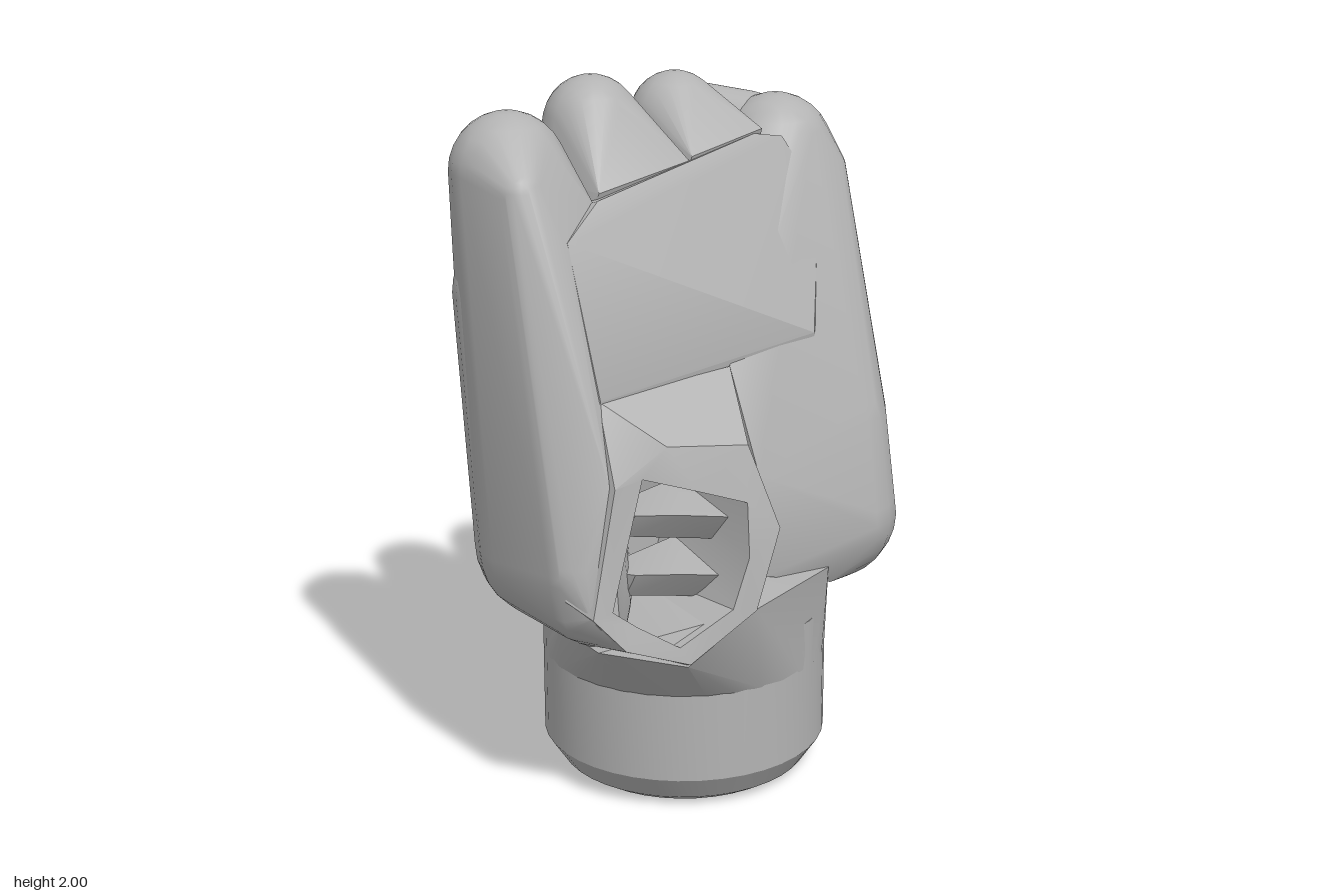
import * as THREE from 'three';
import { toCreasedNormals } from 'three/addons/utils/BufferGeometryUtils.js';
import { ConvexGeometry } from 'three/addons/geometries/ConvexGeometry.js';

const grey = new THREE.MeshStandardMaterial({ color: 0xb3b3b3 });
grey.name = 'plain grey';

// Skin stretched over balls [x, y, z, r] and single points [x, y, z]
function hull(name, items) {
  const points = [];
  for (const [x, y, z, r] of items) {
    if (!r) { points.push(new THREE.Vector3(x, y, z)); continue; }
    const p = new THREE.SphereGeometry(r, 20, 14).attributes.position;
    for (let i = 0; i < p.count; i++) {
      points.push(new THREE.Vector3(p.getX(i) + x, p.getY(i) + y, p.getZ(i) + z));
    }
  }
  return part(name, new ConvexGeometry(points));
}

function part(name, geometry, crease = 0.6) {
  const mesh = new THREE.Mesh(toCreasedNormals(geometry, crease), grey);
  mesh.name = name;
  return mesh;
}

// Quads between successive loops of equal length
function loft(name, loops) {
  const pos = [];
  for (let k = 0; k < loops.length - 1; k++) {
    const n = loops[k].length;
    for (let i = 0; i < n; i++) {
      const j = (i + 1) % n;
      const a = loops[k][i], b = loops[k][j], c = loops[k + 1][j], d = loops[k + 1][i];
      pos.push(...a, ...b, ...c, ...a, ...c, ...d);
    }
  }
  const g = new THREE.BufferGeometry();
  g.setAttribute('position', new THREE.Float32BufferAttribute(pos, 3));
  return part(name, g, 0.5);
}

export function createModel() {
  const hand = new THREE.Group();
  hand.name = 'closedHand';

  // Wrist with bevelled foot
  const profile = [[0, 0], [0.32, 0], [0.36, 0.025], [0.41, 0.1], [0.41, 0.5], [0, 0.5]];
  const wrist = part('wrist', new THREE.LatheGeometry(
    profile.map(([r, y]) => new THREE.Vector2(r, y)), 40), 0.4);
  wrist.position.set(-0.02, 0, -0.02);
  hand.add(wrist);

  // Flare from wrist to hand
  const ring = [];
  for (let i = 0; i < 32; i++) {
    const t = i / 32 * Math.PI * 2;
    ring.push([-0.02 + 0.41 * Math.cos(t), 0.36, -0.02 + 0.41 * Math.sin(t)]);
  }
  hand.add(hull('wristFlare', [...ring,
    [-0.2, 0.65, 0.465], [-0.38, 0.51, 0.39], [-0.57, 0.56, 0.24], [-0.5, 0.54, 0],
    [0.22, 0.62, 0.33], [0.5, 0.57, 0], [0.48, 0.57, -0.2],
    [-0.1, 0.72, -0.43], [0.22, 0.72, -0.42]]));

  // Domed back of the hand and folded finger face
  hand.add(hull('palm', [
    [-0.44, 1.45, -0.24, 0.175], [-0.15, 1.4, -0.2, 0.265],
    [0.18, 1.4, -0.205, 0.27], [0.47, 1.45, -0.18, 0.185],
    [-0.3, 1.3, -0.17, 0.28], [0.3, 1.3, -0.18, 0.28],
    [-0.05, 0.76, -0.21, 0.23], [-0.4, 0.73, -0.15, 0.22], [0.36, 0.75, -0.18, 0.23],
    [-0.48, 1.64, 0.03], [-0.33, 1.72, -0.02], [0.28, 1.81, -0.05],
    [0.38, 1.79, -0.04], [0.46, 1.62, 0.03], [-0.5, 1.24, 0.18], [0.3, 1.27, 0.18]]));

  // Little finger side and heel
  hand.add(hull('littleFingerSide', [
    [0.49, 1.71, -0.18, 0.17], [0.57, 1.66, -0.07, 0.075],
    [0.47, 1.4, -0.14, 0.185], [0.43, 0.95, 0.08, 0.2],
    [0.4, 0.7, 0.145, 0.205], [0.37, 0.7, 0, 0.205], [0.36, 0.74, -0.16, 0.22],
    [-0.03, 1.24, 0.18], [0.25, 1.25, 0.18], [-0.03, 0.95, 0.3],
    [-0.03, 0.66, 0.33], [0.25, 0.56, 0.31]]));

  // Index finger side, reaching down to the thumb rim
  hand.add(hull('indexFingerSide', [
    [-0.46, 1.79, -0.24, 0.16], [-0.54, 1.76, -0.09, 0.07], [-0.44, 1.45, -0.235, 0.17],
    [-0.545, 0.78, 0.15, 0.12], [-0.53, 0.68, 0.15, 0.12], [-0.41, 0.73, -0.14, 0.215],
    [-0.33, 1.7, -0.03], [-0.49, 1.62, 0.04],
    [-0.54, 1.03, 0.26], [-0.62, 0.68, 0.27], [-0.54, 0.58, 0.3]]));

  // Middle two knuckles: ball tip, broad root, and width of the front foot
  const knuckles = [
    ['middleKnuckle', -0.13, 1.865, 0.135, -0.3, 0.03, 1.73],
    ['ringKnuckle', 0.185, 1.84, 0.13, 0.04, 0.31, 1.78]];
  for (const [name, x, y, r, x0, x1, foot] of knuckles) {
    hand.add(hull(name, [[x, y, -0.28, r],
      [x - 0.05, 1.42, -0.3, 0.155], [x + 0.05, 1.42, -0.3, 0.155],
      [x0, foot, -0.05], [x1, foot + 0.04, -0.05],
      [x0, foot, -0.25], [x1, foot + 0.02, -0.25]]));
  }

  // Web joining the outer two knuckles at the back
  hand.add(hull('knuckleWeb', [
    [0.19, 1.86, -0.335, 0.085], [0.48, 1.78, -0.28, 0.09],
    [0.19, 1.42, -0.305, 0.155], [0.46, 1.42, -0.2, 0.17]]));

  // Curled thumb: raised rim around a hollow
  const base = [[-0.03, 1.24, 0.18], [-0.5, 1.24, 0.17], [-0.55, 1, 0.19], [-0.65, 0.72, 0.2],
    [-0.58, 0.57, 0.17], [-0.4, 0.48, 0.25], [-0.2, 0.55, 0.35], [-0.03, 0.66, 0.31]];
  const rim = [[-0.17, 1.1, 0.4], [-0.4, 1.13, 0.33], [-0.54, 1.03, 0.28], [-0.62, 0.68, 0.28],
    [-0.54, 0.58, 0.32], [-0.38, 0.52, 0.4], [-0.2, 0.65, 0.47], [-0.12, 0.87, 0.475]];
  const lip = [[-0.2, 0.95, 0.43], [-0.33, 1, 0.38], [-0.47, 1.05, 0.31], [-0.56, 0.69, 0.29],
    [-0.5, 0.64, 0.32], [-0.4, 0.57, 0.38], [-0.26, 0.66, 0.44], [-0.21, 0.8, 0.45]];
  const floor = lip.map(([x, y]) => [x, y, 0.1]);
  const centre = lip.map(() => [-0.37, 0.82, 0.1]);
  hand.add(loft('thumb', [base, rim, lip, floor, centre]));

  // Small ridges inside the hollow
  for (const y of [0.91, 0.74]) {
    hand.add(hull('hollowRidge', [
      [-0.47, y + 0.03, 0.28], [-0.47, y - 0.04, 0.24], [-0.48, y, 0.12],
      [-0.2, y - 0.02, 0.36], [-0.2, y - 0.1, 0.3], [-0.2, y + 0.04, 0.15],
      [-0.36, y + 0.02, 0.34], [-0.2, y - 0.06, 0.12]]));
  }
  return hand;
}
